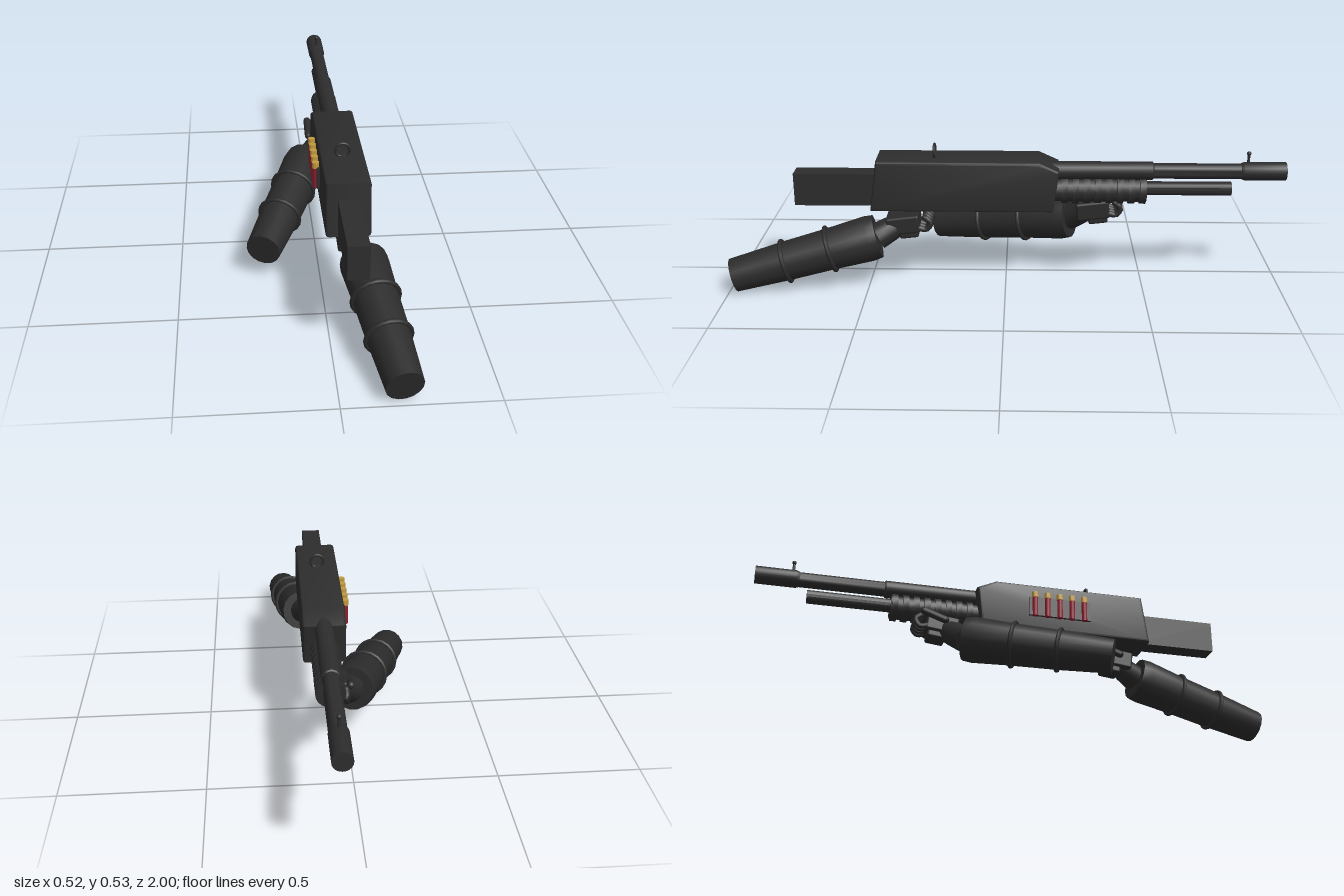
import * as THREE from 'three';
import { toCreasedNormals } from 'three/addons/utils/BufferGeometryUtils.js';
import { RoundedBoxGeometry } from 'three/addons/geometries/RoundedBoxGeometry.js';

const V = (x, y, z) => new THREE.Vector3(x, y, z);
const UP = V(0, 1, 0);
const CX = 0.077; // centre line of the gun

export function createModel() {
  const paint = (name, color) => {
    const m = new THREE.MeshStandardMaterial({ color });
    m.name = name;
    return m;
  };
  const steel = paint('dark steel', 0x2d2d2d);
  const sleeve = paint('dark sleeve', 0x2b2b2b);
  const red = paint('shell red', 0x8f2030);
  const brass = paint('brass', 0xc29a3e);

  const root = new THREE.Group();
  const group = (name, parent = root) => {
    const g = new THREE.Group();
    g.name = name;
    parent.add(g);
    return g;
  };
  const add = (parent, name, geo, mat, x = 0, y = 0, z = 0) => {
    const m = new THREE.Mesh(geo, mat);
    m.name = name;
    m.position.set(x, y, z);
    parent.add(m);
    return m;
  };
  // Revolved solid between two points; profile holds [radius, fraction of length]
  const turned = (parent, name, a, b, profile, mat, sides = 16) => {
    const len = a.distanceTo(b);
    const pts = profile.map(([r, t]) => new THREE.Vector2(r, t * len));
    pts.unshift(new THREE.Vector2(0, pts[0].y));
    pts.push(new THREE.Vector2(0, pts[pts.length - 1].y));
    const m = add(parent, name, toCreasedNormals(new THREE.LatheGeometry(pts, sides), 0.7), mat, a.x, a.y, a.z);
    m.quaternion.setFromUnitVectors(UP, b.clone().sub(a).normalize());
    return m;
  };
  const rod = (parent, name, a, b, r, mat, sides = 16) => turned(parent, name, a, b, [[r, 0], [r, 1]], mat, sides);

  // Receiver: side profile with [z, y] corners, bevelled across its width
  const gun = group('gun');
  const side = new THREE.Shape([
    [0.485, 0.297], [-0.17, 0.297], [-0.19, 0.45], [-0.118, 0.483], [0.46, 0.483],
  ].map(([z, y]) => new THREE.Vector2(-z, y)));
  const body = new THREE.ExtrudeGeometry(side, {
    depth: 0.133, bevelEnabled: true, bevelThickness: 0.01, bevelSize: 0.01, bevelOffset: -0.01, bevelSegments: 3,
  });
  body.rotateY(Math.PI / 2);
  add(gun, 'receiver', toCreasedNormals(body, 0.6), steel, 0.01);
  add(gun, 'stock', new THREE.BoxGeometry(0.071, 0.12, 0.3), steel, CX, 0.365, 0.612);

  // Barrel, muzzle sleeve and magazine tube
  turned(gun, 'barrel', V(CX, 0.433, -0.1), V(CX, 0.433, -0.86), [[0.033, 0], [0.033, 0.56], [0.028, 0.565], [0.028, 1]], steel, 20);
  turned(gun, 'muzzle', V(CX, 0.434, -0.84), V(CX, 0.434, -1), [[0.028, 0], [0.033, 0.08], [0.033, 1]], steel, 20);
  rod(gun, 'magazineTube', V(CX, 0.367, -0.15), V(CX, 0.367, -0.81), 0.025, steel);

  // Ribbed pump grip
  const pump = group('pump', gun);
  rod(pump, 'pumpCore', V(CX, 0.361, -0.17), V(CX, 0.361, -0.505), 0.044, steel, 20);
  for (let i = 0; i < 8; i++) {
    const z = -0.2 - i * 0.04;
    rod(pump, 'pumpRib', V(CX, 0.361, z), V(CX, 0.361, z - 0.022), 0.051, steel, 20);
  }

  // Ring rear sight, bead front sight
  add(gun, 'rearSight', new THREE.TorusGeometry(0.0245, 0.005, 8, 24), steel, CX, 0.503, 0.255);
  rod(gun, 'frontSightPost', V(CX, 0.455, -0.865), V(CX, 0.5, -0.865), 0.005, steel, 10);
  add(gun, 'frontSightBead', new THREE.SphereGeometry(0.008, 12, 8), steel, CX, 0.5, -0.865);

  // Spare shells in a side holder
  const holder = group('shellHolder', gun);
  add(holder, 'holderPlate', new THREE.BoxGeometry(0.012, 0.076, 0.24), steel, -0.004, 0.39, 0.128);
  for (let i = 0; i < 5; i++) {
    const z = 0.03 + i * 0.048;
    rod(holder, 'shellCase', V(-0.0125, 0.348, z), V(-0.0125, 0.424, z), 0.0105, red, 12);
    rod(holder, 'shellCap', V(-0.0125, 0.423, z), V(-0.0125, 0.445, z), 0.0125, brass, 12);
  }

  // Sleeved forearm from elbow to wrist with two raised bands
  function arm(name, elbow, wrist) {
    const g = group(name);
    turned(g, 'sleeve', elbow, wrist, [[0.062, 0], [0.072, 0.36], [0.077, 0.68], [0.084, 0.94], [0.08, 1]], sleeve);
    const dir = wrist.clone().sub(elbow);
    for (const [t, r] of [[0.36, 0.075], [0.67, 0.08]]) {
      const p = elbow.clone().addScaledVector(dir, t);
      const band = add(g, 'sleeveBand', new THREE.TorusGeometry(r, 0.008, 8, 20), sleeve, p.x, p.y, p.z);
      band.quaternion.setFromUnitVectors(V(0, 0, 1), dir.clone().normalize());
    }
    return g;
  }

  // Gloved hand: palm, knuckle block, four curled fingers and a thumb
  function hand(parent, palm, wrist, thumbSide) {
    const g = group('hand', parent);
    turned(g, 'wrist', wrist, palm, [[0.05, 0], [0.045, 0.5], [0.035, 1]], sleeve);
    const h = group('glove', g);
    h.position.copy(palm);
    h.rotation.x = 0.12;
    add(h, 'palm', new RoundedBoxGeometry(0.1, 0.065, 0.12, 2, 0.008), sleeve);
    add(h, 'handHeel', new RoundedBoxGeometry(0.075, 0.04, 0.07, 2, 0.008), sleeve, 0, -0.035, -0.015);
    for (let i = 0; i < 4; i++) {
      const x = -0.039 + i * 0.026;
      const curl = new THREE.CatmullRomCurve3([
        V(x, -0.015, -0.05), V(x, -0.025, -0.082), V(x, 0.0, -0.1), V(x, 0.02, -0.082),
      ]);
      add(h, 'finger', new THREE.TubeGeometry(curl, 8, 0.011, 8), sleeve);
      for (const t of [0, 1]) {
        const p = curl.getPoint(t);
        add(h, 'fingerTip', new THREE.SphereGeometry(0.011, 8, 6), sleeve, p.x, p.y, p.z);
      }
    }
    const thumb = add(h, 'thumb', new THREE.CapsuleGeometry(0.014, 0.085, 4, 10), sleeve, thumbSide * 0.054, 0.022, -0.035);
    thumb.rotation.x = -1.35;
  }

  const rearWrist = V(0.128, 0.193, 0.465);
  const rearArm = arm('rearArm', V(0.197, 0.065, 0.983), rearWrist);
  hand(rearArm, V(0.098, 0.24, 0.37), rearWrist, -1);

  const foreWrist = V(-0.013, 0.222, -0.235);
  const foreArm = arm('foreArm', V(-0.202, 0.125, 0.265), foreWrist);
  hand(foreArm, V(0.055, 0.285, -0.315), foreWrist, -1);

  return root;
}
